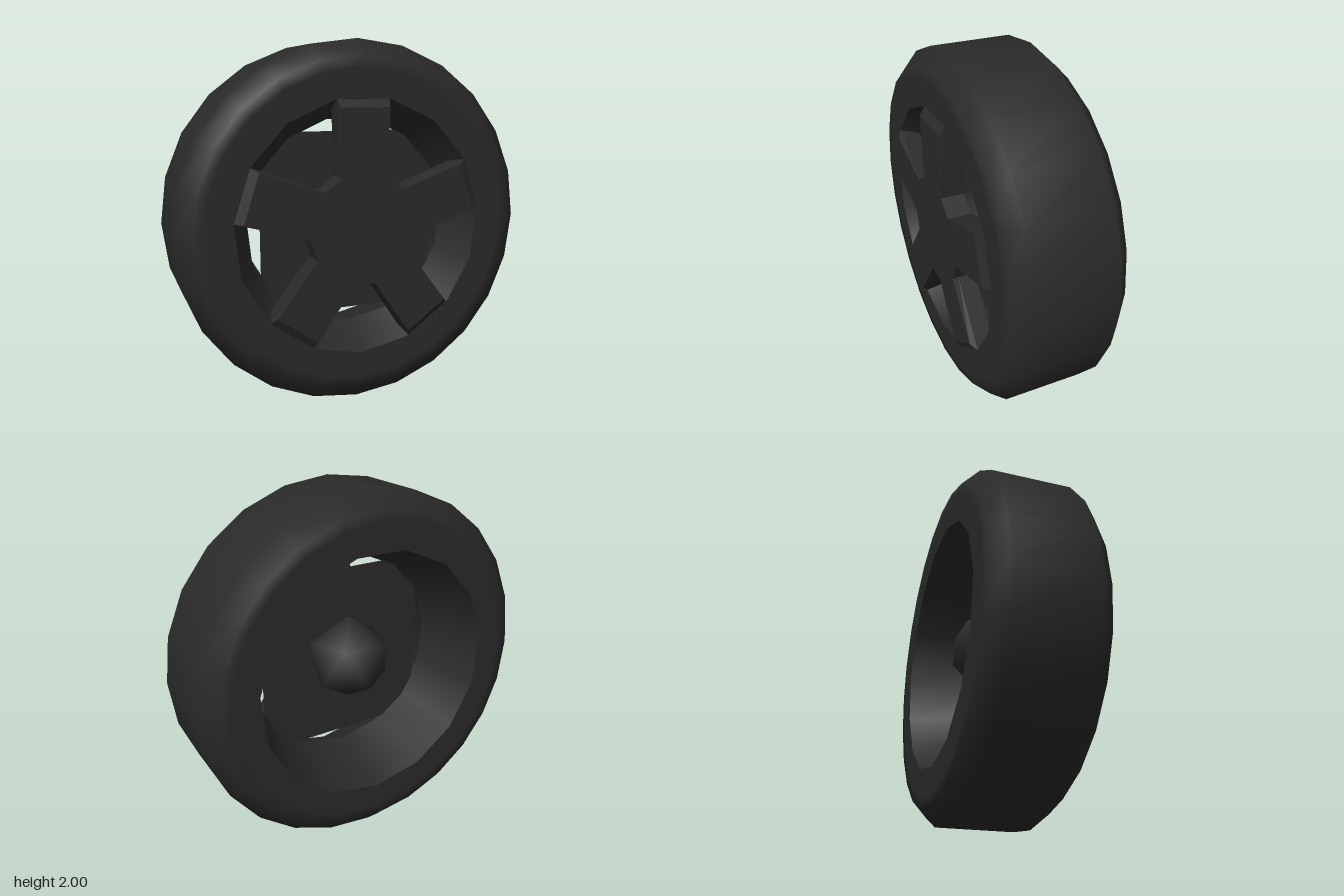
import * as THREE from 'three';
import { mergeVertices } from 'three/addons/utils/BufferGeometryUtils.js';

const rubber = new THREE.MeshStandardMaterial({ color: 0x2a2a2a });
rubber.name = 'charcoal';

export function createModel() {
  const wheel = new THREE.Group();
  wheel.name = 'wheel';

  const add = (name, geometry, z = 0) => {
    const mesh = new THREE.Mesh(geometry, rubber);
    mesh.name = name;
    mesh.position.set(0, 1, z);
    wheel.add(mesh);
    return mesh;
  };

  // Profiles are [radius, z] pairs turned about the axle
  const turned = (profile, sides) =>
    new THREE.LatheGeometry(profile.map(([r, z]) => new THREE.Vector2(r, z)), sides).rotateX(Math.PI / 2);

  const ring = (r, sides) => Array.from({ length: sides }, (_, i) => {
    const a = -Math.PI / 2 + (i / sides) * Math.PI * 2;
    return new THREE.Vector2(r * Math.cos(a), r * Math.sin(a));
  });

  // Tyre: chamfered tread with 24 sides
  add('tread', turned([[0.85, -0.33], [0.91, -0.33], [1, -0.24], [1, 0.21], [0.91, 0.3], [0.85, 0.3]], 24));

  // Flat sidewalls joining the 24-sided tread to the 15-sided rim
  const sidewall = new THREE.Shape(ring(0.85, 24));
  sidewall.holes.push(new THREE.Path(ring(0.705, 15)));
  add('frontSidewall', new THREE.ShapeGeometry(sidewall), 0.3);
  add('backSidewall', new THREE.ShapeGeometry(sidewall), -0.33).rotation.y = Math.PI;

  // Rim: narrows from both openings to a throat, split there for a sharp edge
  add('rimFront', turned([[0.705, 0.3], [0.59, 0.07]], 15));
  add('rimBarrel', turned([[0.59, 0.07], [0.705, -0.33]], 15));

  // Five-spoke star
  const star = [];
  for (let i = 0; i < 5; i++) {
    const a = Math.PI / 2 + (i * Math.PI * 2) / 5;
    for (const [r, s] of [[0.28, -0.13], [0.69, -0.147], [0.69, 0.147], [0.28, 0.13]]) {
      star.push(new THREE.Vector2(r * Math.cos(a) - s * Math.sin(a), r * Math.sin(a) + s * Math.cos(a)));
    }
  }
  const spokes = new THREE.ExtrudeGeometry(new THREE.Shape(star), { depth: 0.13, steps: 4, bevelEnabled: false });
  // Pull in the front tips to bevel the spoke ends
  const p = spokes.attributes.position;
  for (let i = 0; i < p.count; i++) {
    if (p.getZ(i) > 0.12 && Math.hypot(p.getX(i), p.getY(i)) > 0.6) {
      p.setXY(i, p.getX(i) * 0.935, p.getY(i) * 0.935);
    }
  }
  spokes.computeVertexNormals();
  add('spokes', spokes, 0.2);

  // Square plate behind the spokes
  add('brakePlate', new THREE.BoxGeometry(1.02, 1.02, 0.015), 0.065);

  // Low-poly axle knob on the back, with smooth shading
  let knob = new THREE.IcosahedronGeometry(0.25, 0);
  knob.deleteAttribute('normal');
  knob.deleteAttribute('uv');
  knob = mergeVertices(knob, 1e-3);
  knob.computeVertexNormals();
  knob.rotateX(-Math.atan2((1 + Math.sqrt(5)) / 2, 1));
  add('axleKnob', knob, -0.01);

  return wheel;
}
